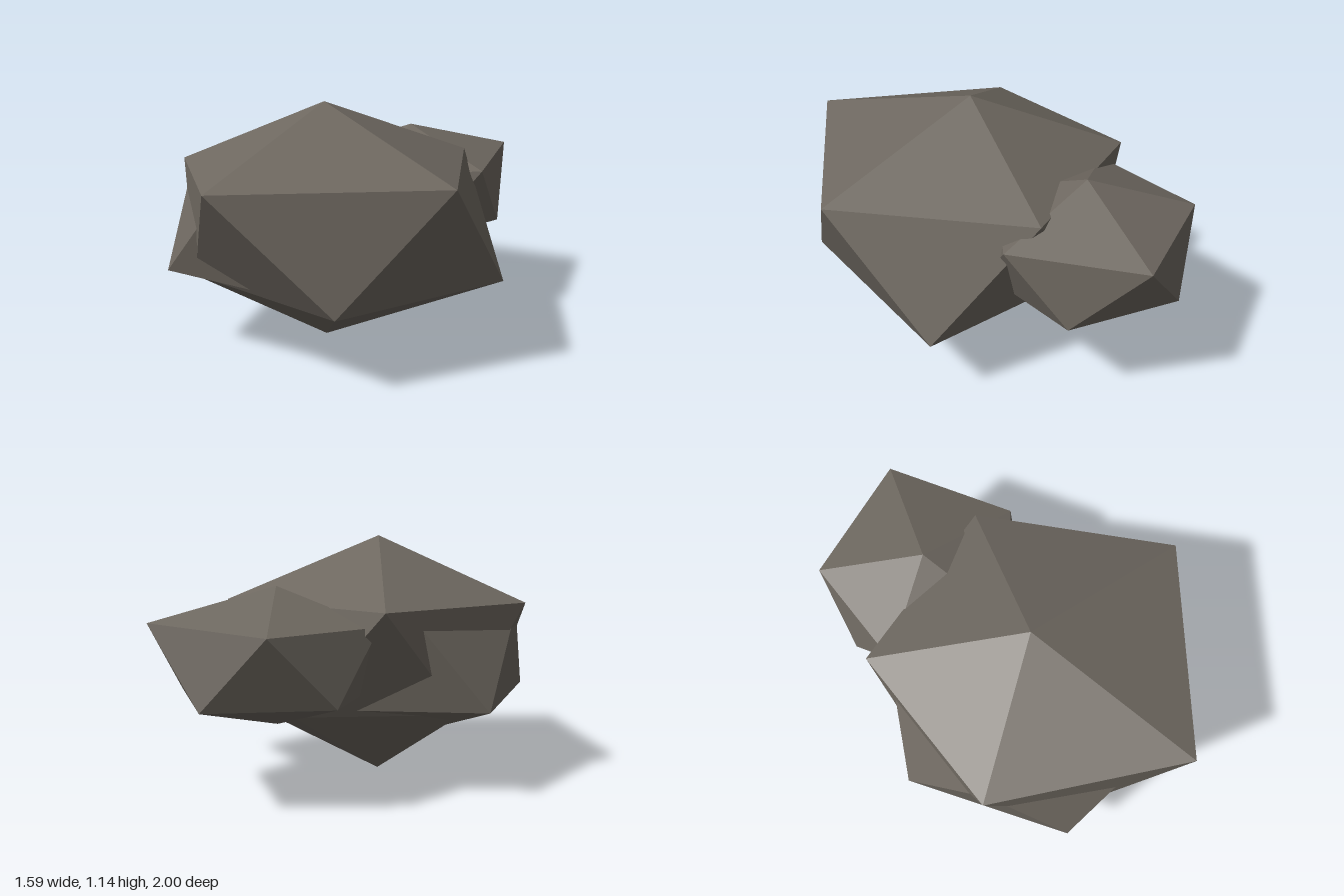
import * as THREE from 'three';

const stone = new THREE.MeshStandardMaterial({ color: 0x6e6860, flatShading: true });
stone.name = 'warm grey stone';

// Irregular twenty-sided boulder: a tip, two staggered rings of five corners, and a base.
// Rings run from +x towards +z; the lower ring is offset by half a step.
function boulder(name, top, upper, lower, bottom) {
  const positions = [];
  const face = (...corners) => corners.forEach((c) => positions.push(...c));
  for (let i = 0; i < 5; i++) {
    const j = (i + 1) % 5;
    face(top, upper[j], upper[i]);
    face(upper[j], lower[i], upper[i]);
    face(lower[i], upper[j], lower[j]);
    face(lower[j], bottom, lower[i]);
  }
  const geometry = new THREE.BufferGeometry();
  geometry.setAttribute('position', new THREE.Float32BufferAttribute(positions, 3));
  geometry.computeVertexNormals();
  const mesh = new THREE.Mesh(geometry, stone);
  mesh.name = name;
  return mesh;
}

export function createModel() {
  const group = new THREE.Group();
  group.name = 'rockCluster';

  // Large central boulder
  group.add(boulder('mainBoulder',
    [-0.06, 1.14, 0.18],
    [[0.79, 0.89, 0.18], [0.2, 0.89, 1.0], [-0.63, 0.84, 0.59], [-0.65, 0.85, -0.25], [0.16, 0.86, -0.52]],
    [[0.55, 0.37, 0.62], [-0.27, 0.38, 0.77], [-0.65, 0.37, 0.18], [-0.26, 0.37, -0.44], [0.62, 0.34, -0.32]],
    [-0.06, 0, 0.18]));

  // Smaller boulder at the back
  group.add(boulder('backBoulder',
    [-0.17, 0.94, -0.47],
    [[0.33, 0.78, -0.47], [-0.02, 0.77, -0.04], [-0.56, 0.78, -0.21], [-0.57, 0.78, -0.77], [0, 0.8, -1.0]],
    [[0.2, 0.46, -0.2], [-0.32, 0.47, -0.04], [-0.62, 0.47, -0.47], [-0.31, 0.46, -0.93], [0.2, 0.46, -0.74]],
    [-0.17, 0.33, -0.47]));

  // Boulder mostly buried in the main one, emerging at the front and side
  group.add(boulder('sideBoulder',
    [-0.11, 1.07, 0.21],
    [[0.5, 0.81, 0.21], [0.06, 0.81, 0.85], [-0.59, 0.81, 0.57], [-0.63, 0.8, -0.07], [0.08, 0.81, -0.36]],
    [[0.44, 0.4, 0.61], [-0.36, 0.4, 0.86], [-0.8, 0.4, 0.21], [-0.28, 0.4, -0.37], [0.4, 0.4, -0.15]],
    [-0.11, 0.15, 0.21]));

  return group;
}
